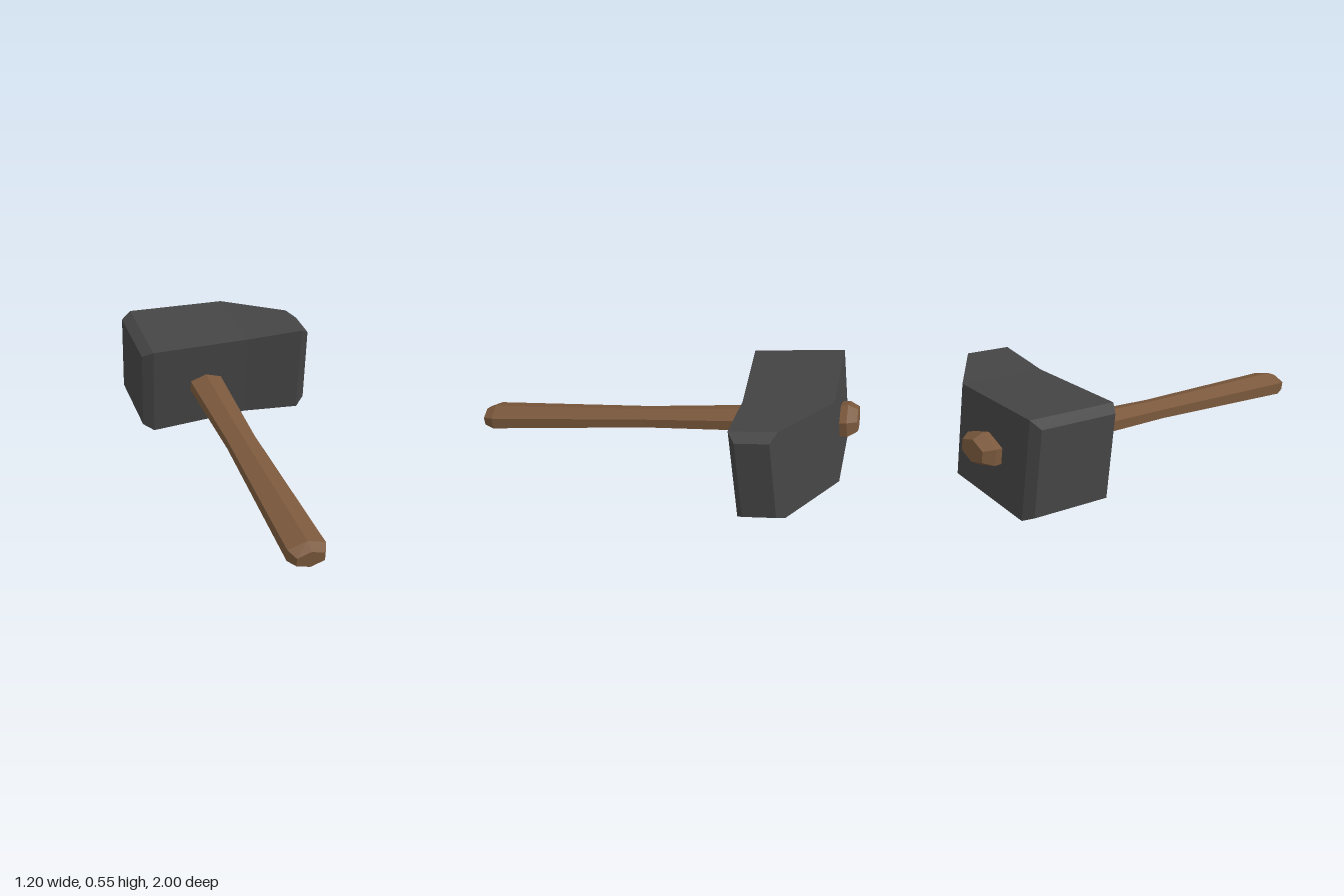
import * as THREE from 'three';

// Skins a list of equal-length rings (counterclockwise seen from the far end) and caps both ends
function loft(rings) {
  const n = rings[0].length, index = [];
  for (let k = 0; k < rings.length - 1; k++) {
    for (let j = 0; j < n; j++) {
      const a = k * n + j, b = k * n + (j + 1) % n;
      index.push(a, b, b + n, a, b + n, a + n);
    }
  }
  const last = (rings.length - 1) * n;
  for (let j = 1; j < n - 1; j++) {
    index.push(0, j + 1, j, last, last + j, last + j + 1);
  }
  const geo = new THREE.BufferGeometry();
  geo.setAttribute('position', new THREE.Float32BufferAttribute(rings.flat(2), 3));
  geo.setIndex(index);
  const flat = geo.toNonIndexed();
  flat.computeVertexNormals();
  return flat;
}

function part(name, geometry, color) {
  const mesh = new THREE.Mesh(geometry, new THREE.MeshStandardMaterial({ color, flatShading: true }));
  mesh.name = name;
  return mesh;
}

export function createModel() {
  const model = new THREE.Group();
  model.name = 'hammer';

  // Head: rectangular sections from striking face to peen [x, zBack, zFront, halfHeight]
  const head = [
    [-0.35, -0.315, 0.105, 0.214],
    [-0.295, -0.343, 0.135, 0.245],
    [0.235, -0.343, 0.114, 0.231],
    [0.545, -0.11, 0.13, 0.247],
    [0.597, -0.075, 0.095, 0.211],
  ].map(([x, z0, z1, h]) => [[x, -h, z0], [x, h, z0], [x, h, z1], [x, -h, z1]]);

  // Handle: hexagonal sections from tip to butt [z, halfWidth, halfHeight]
  const handle = [
    [-0.43, 0.082, 0.055],
    [-0.38, 0.115, 0.08],
    [-0.12, 0.092, 0.06],
    [0.7, 0.073, 0.048],
    [1.57, 0.092, 0.062],
    [1.625, 0.068, 0.043],
  ].map(([z, w, h]) => [
    [w, -h / 2, z], [w, h / 2, z], [0, h, z],
    [-w, h / 2, z], [-w, -h / 2, z], [0, -h, z],
  ]);

  // The hammer lies tilted, resting on its butt and the underside of the head
  const tilted = new THREE.Group();
  tilted.name = 'tiltedHammer';
  tilted.rotation.set(0.127, -0.334, 0, 'YXZ');
  tilted.position.set(0, 0.267, -0.55);
  tilted.add(part('head', loft(head), 0x444444), part('handle', loft(handle), 0x7a583c));
  model.add(tilted);
  return model;
}
